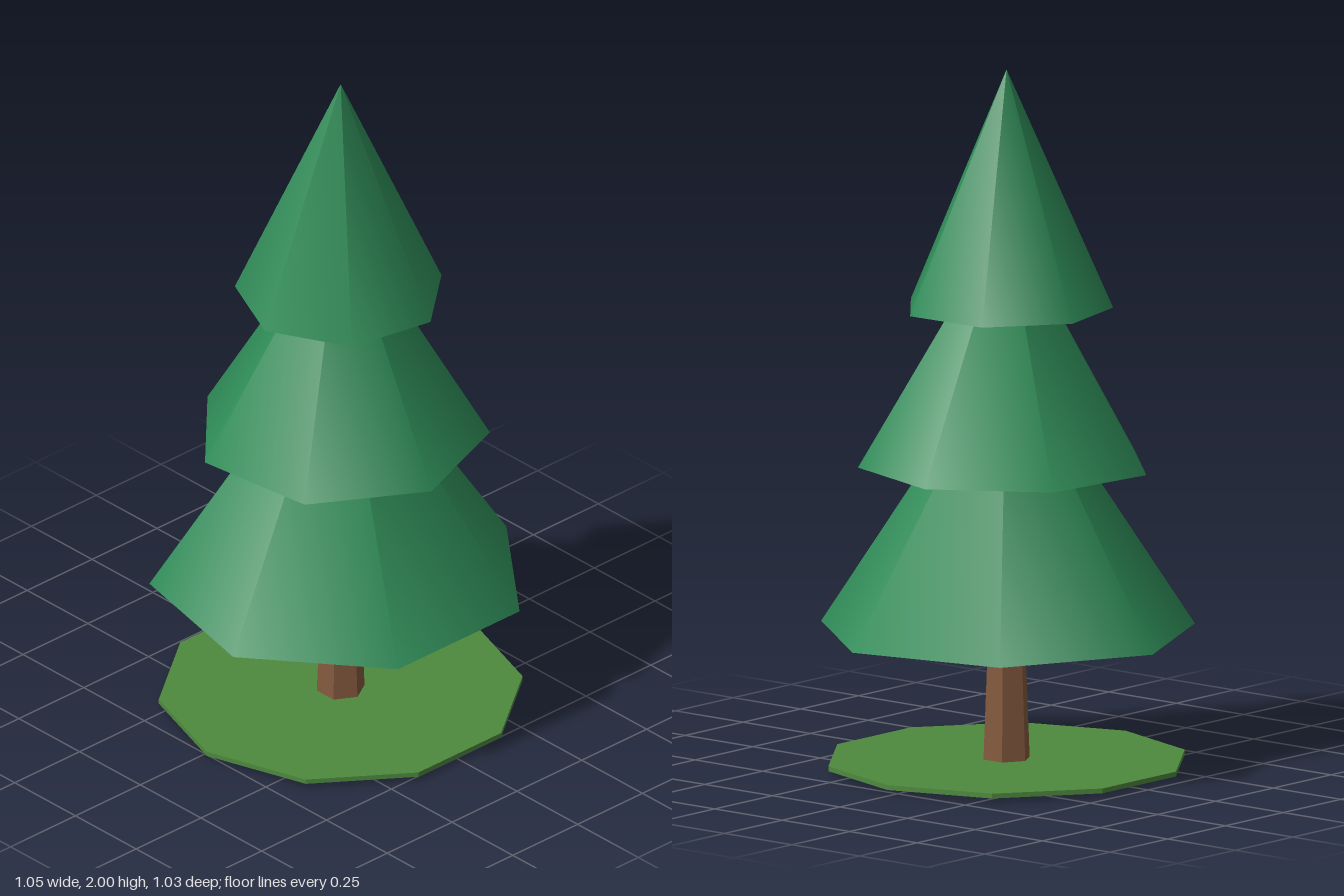
import * as THREE from 'three';

const foliageMat = new THREE.MeshStandardMaterial({ color: 0x2e8b57 });
foliageMat.name = 'foliage green';
const barkMat = new THREE.MeshStandardMaterial({ color: 0x855a3e });
barkMat.name = 'bark brown';
const grassMat = new THREE.MeshStandardMaterial({ color: 0x4e8a3f });
grassMat.name = 'grass green';

// Faceted look through split vertices, so every material sets only its colour
function flat(geometry) {
  const g = geometry.toNonIndexed();
  g.computeVertexNormals();
  return g;
}

export function createModel() {
  const tree = new THREE.Group();
  tree.name = 'pineTree';

  function add(name, geometry, material, base, height, turn = 0) {
    const mesh = new THREE.Mesh(geometry, material);
    mesh.name = name;
    mesh.position.set(0, base + height / 2, 0.024);
    mesh.rotation.y = turn;
    tree.add(mesh);
  }

  // Thin ten-sided patch of grass
  add('grassPatch', flat(new THREE.CylinderGeometry(0.516, 0.516, 0.014, 10)), grassMat, 0.01, 0.014, Math.PI / 10);

  // Tapered six-sided trunk
  add('trunk', flat(new THREE.CylinderGeometry(0.05, 0.07, 0.5, 6)), barkMat, 0, 0.5);

  // Three smooth seven-sided cones, each turned a little further
  const tiers = [
    ['lowerFoliage', 0.54, 0.39, 0.83],
    ['middleFoliage', 0.42, 0.865, 0.715],
    ['upperFoliage', 0.3, 1.317, 0.683],
  ];
  tiers.forEach(([name, radius, base, height], i) => {
    add(name, new THREE.ConeGeometry(radius, height, 7), foliageMat, base, height, Math.PI / 7 + i * 0.35);
  });

  return tree;
}
